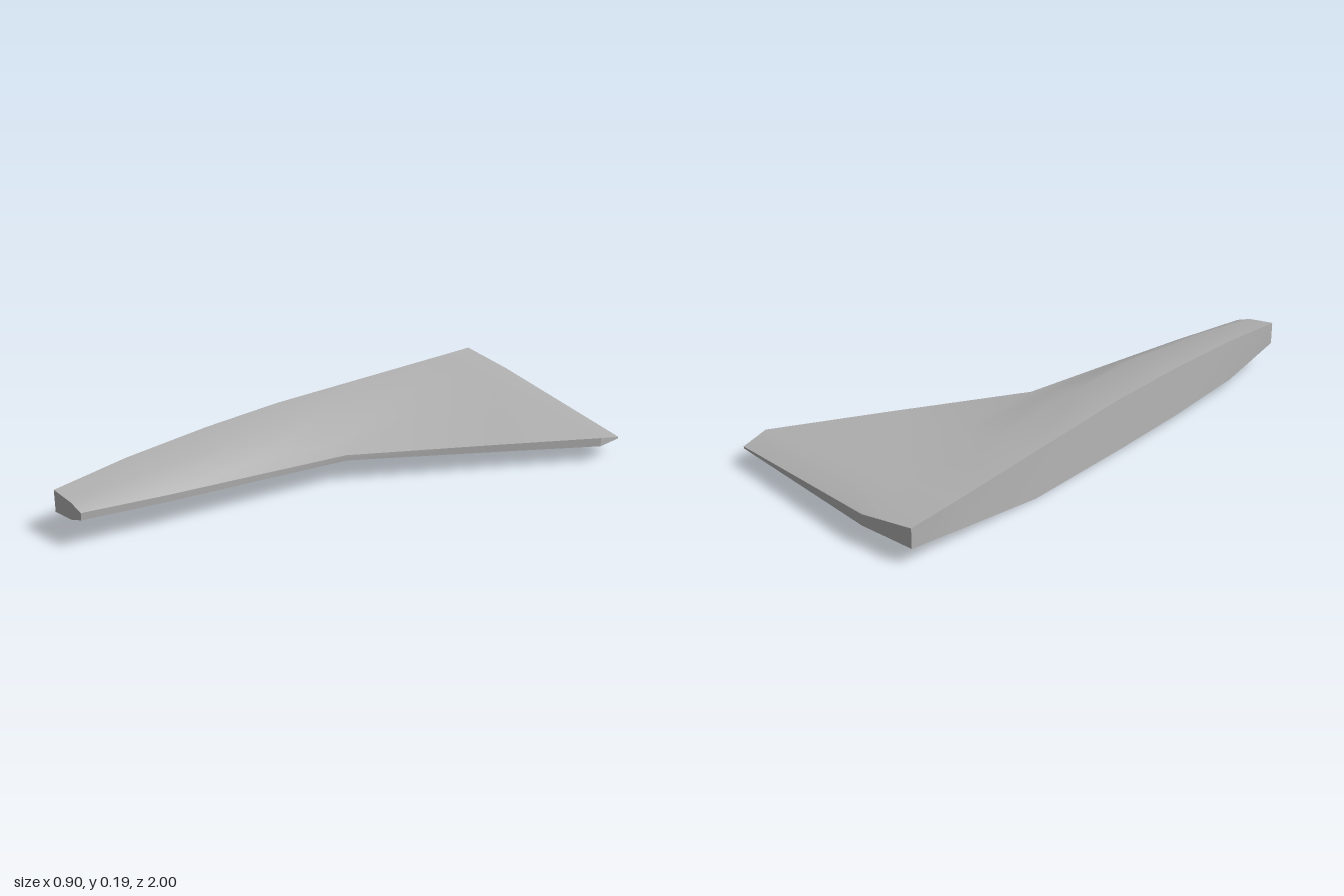
import * as THREE from 'three';
import { toCreasedNormals } from 'three/addons/utils/BufferGeometryUtils.js';

// Cross-sections from nose to tail. Each is z, then x,y pairs running
// root top, shoulder, blend, edge top, edge bottom, belly, root bottom.
const SECTIONS = [
  [1.0, -0.43, 0.168, -0.33, 0.158, -0.29, 0.145, -0.275, 0.14, -0.275, 0.113, -0.335, 0.092, -0.43, 0.085],
  [0.7, -0.434, 0.188, -0.3, 0.18, -0.235, 0.15, -0.2, 0.131, -0.2, 0.105, -0.29, 0.066, -0.446, 0.04],
  [0.35, -0.435, 0.194, -0.265, 0.187, -0.18, 0.147, -0.125, 0.12, -0.125, 0.097, -0.27, 0.05, -0.452, 0.02],
  [0.02, -0.436, 0.188, -0.26, 0.177, -0.13, 0.131, -0.055, 0.109, -0.055, 0.088, -0.25, 0.042, -0.453, 0.009],
  [-0.43, -0.438, 0.16, -0.26, 0.147, -0.12, 0.13, 0.23, 0.103, 0.23, 0.075, -0.24, 0.038, -0.452, 0],
  [-0.78, -0.44, 0.138, -0.26, 0.126, -0.1, 0.118, 0.45, 0.096, 0.45, 0.063, -0.22, 0.046, -0.446, 0.034],
  [-0.88, -0.44, 0.132, -0.26, 0.118, -0.1, 0.109, 0.45, 0.07, 0.45, 0.063, -0.22, 0.051, -0.443, 0.044],
  [-1.0, -0.44, 0.125, -0.33, 0.112, -0.28, 0.106, -0.23, 0.1, -0.23, 0.06, -0.33, 0.058, -0.44, 0.055],
];

// Skin the sections into a closed, creased shell.
function loft(sections) {
  const n = (sections[0].length - 1) / 2;
  const positions = [];
  const index = [];
  for (const [z, ...xy] of sections) {
    for (let j = 0; j < n; j++) positions.push(xy[2 * j], xy[2 * j + 1], z);
  }
  const last = (sections.length - 1) * n;
  for (let i = 0; i < last; i += n) {
    for (let j = 0; j < n; j++) {
      const a = i + j;
      const b = i + ((j + 1) % n);
      index.push(a, b, a + n, b, b + n, a + n);
    }
  }
  // nose and tail caps
  for (let j = 1; j < n - 1; j++) {
    index.push(0, j + 1, j, last, last + j, last + j + 1);
  }
  const geometry = new THREE.BufferGeometry();
  geometry.setAttribute('position', new THREE.Float32BufferAttribute(positions, 3));
  geometry.setIndex(index);
  return toCreasedNormals(geometry, THREE.MathUtils.degToRad(32));
}

export function createModel() {
  const grey = new THREE.MeshStandardMaterial({ color: 0xb0b0b0 });
  grey.name = 'plain grey';

  const model = new THREE.Group();
  model.name = 'blendedWing';
  const shell = new THREE.Mesh(loft(SECTIONS), grey);
  shell.name = 'wingShell';
  model.add(shell);
  return model;
}
